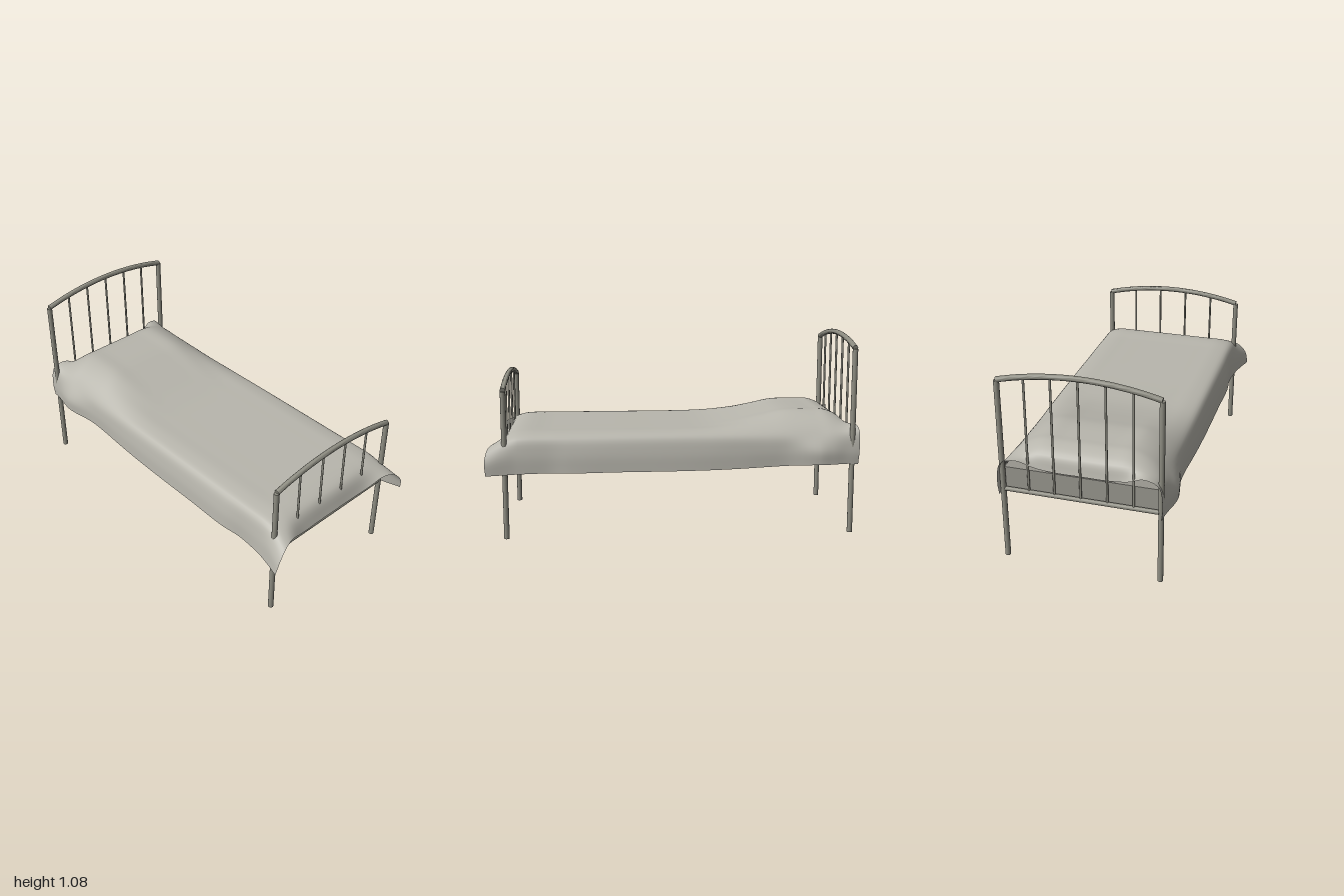
import * as THREE from 'three';
import { toCreasedNormals } from 'three/addons/utils/BufferGeometryUtils.js';

const metal = new THREE.MeshStandardMaterial({ color: 0x8e8d82 });
metal.name = 'grey metal';
const linen = new THREE.MeshStandardMaterial({ color: 0xb8b6ad, side: THREE.DoubleSide });
linen.name = 'pale linen';
const ticking = new THREE.MeshStandardMaterial({ color: 0x98968e });
ticking.name = 'mattress grey';

function add(parent, name, geometry, material, x = 0, y = 0, z = 0) {
  const mesh = new THREE.Mesh(geometry, material);
  mesh.name = name;
  mesh.position.set(x, y, z);
  parent.add(mesh);
  return mesh;
}

// Upright round rod between two heights
function rod(parent, name, x, y0, y1, radius) {
  add(parent, name, new THREE.CylinderGeometry(radius, radius, y1 - y0, 16), metal, x, (y0 + y1) / 2, 0);
}

// One end of the frame: posts, arched rail, lower rail and thin bars
function bedEnd(name, z, postTop, bars) {
  const end = new THREE.Group();
  end.name = name;
  end.position.z = z;
  const railY = x => postTop + 0.008 + 0.053 * (1 - (x / 0.41) ** 2);

  for (const side of [-1, 1]) rod(end, 'post', side * 0.41, 0, postTop + 0.003, 0.0145);
  for (const x of bars) rod(end, 'bar', x, 0.4, railY(x), 0.006);

  const points = [];
  for (let i = 0; i <= 8; i++) {
    const x = -0.41 + 0.82 * i / 8;
    points.push(new THREE.Vector3(x, railY(x), 0));
  }
  const disc = new THREE.Shape().absarc(0, 0, 0.0145, 0, Math.PI * 2);
  const arch = new THREE.ExtrudeGeometry(disc, {
    steps: 24, curveSegments: 8, bevelEnabled: false,
    extrudePath: new THREE.CatmullRomCurve3(points),
  });
  add(end, 'archedRail', toCreasedNormals(arch, 0.9), metal);

  const lower = new THREE.CylinderGeometry(0.012, 0.012, 0.8, 16).rotateZ(Math.PI / 2);
  add(end, 'lowerRail', lower, metal, 0, 0.402, 0);
  return end;
}

// Half cross-section of the blanket, from the middle to the hem
function section([z, top, shoulder, corner, sideX, hemX, hemY]) {
  return [[0, top, z], [0.13, top, z], [0.24, top, z], [0.34, shoulder, z],
    [0.405, corner, z], [sideX, 0.46, z], [hemX, hemY, z]];
}

function blanketGeometry() {
  // Head edge dips between the posts and lifts at the corners
  const headEdge = [[0, 0.53, -0.955], [0.13, 0.53, -0.955], [0.24, 0.545, -0.962], [0.33, 0.588, -0.99],
    [0.405, 0.565, -1], [0.425, 0.46, -1], [0.42, 0.38, -0.995]];
  // Foot edge flares out at the corners
  const footEdge = [[0, 0.455, 0.94], [0.13, 0.455, 0.94], [0.25, 0.463, 0.948], [0.36, 0.5, 0.972],
    [0.425, 0.483, 0.99], [0.475, 0.425, 1], [0.49, 0.36, 0.993]];
  // z, top, shoulder, corner, side x, hem x, hem y
  const rows = [
    [-0.93, 0.607, 0.59, 0.55, 0.428, 0.43, 0.385],
    [-0.85, 0.645, 0.605, 0.545, 0.445, 0.447, 0.385],
    [-0.78, 0.648, 0.605, 0.54, 0.453, 0.453, 0.385],
    [-0.62, 0.646, 0.6, 0.535, 0.424, 0.425, 0.378],
    [-0.5, 0.622, 0.59, 0.535, 0.422, 0.422, 0.372],
    [-0.35, 0.591, 0.577, 0.538, 0.424, 0.428, 0.366],
    [-0.2, 0.57, 0.567, 0.541, 0.428, 0.433, 0.362],
    [0, 0.565, 0.563, 0.543, 0.43, 0.437, 0.36],
    [0.3, 0.565, 0.563, 0.543, 0.432, 0.44, 0.36],
    [0.55, 0.565, 0.563, 0.543, 0.434, 0.443, 0.358],
    [0.68, 0.565, 0.563, 0.543, 0.428, 0.432, 0.358],
    [0.83, 0.565, 0.561, 0.54, 0.434, 0.446, 0.358],
    [0.895, 0.54, 0.543, 0.525, 0.444, 0.46, 0.358],
  ];
  const sections = [headEdge, ...rows.map(section), footEdge];

  // Mirror each half and smooth it across, then smooth along the length
  const across = 56, along = 70;
  const smooth = pts => new THREE.CatmullRomCurve3(pts);
  const strips = sections.map(half => {
    const left = half.map(p => new THREE.Vector3(...p));
    const right = half.slice(1).reverse().map(([x, y, z]) => new THREE.Vector3(-x, y, z));
    return smooth([...right, ...left]).getPoints(across);
  });
  const positions = [], index = [];
  for (let i = 0; i <= across; i++) {
    for (const p of smooth(strips.map(s => s[i])).getPoints(along)) positions.push(p.x, p.y, p.z);
  }
  for (let i = 0; i < across; i++) {
    for (let j = 0; j < along; j++) {
      const a = i * (along + 1) + j, b = a + along + 1;
      index.push(a, a + 1, b, b, a + 1, b + 1);
    }
  }
  const geometry = new THREE.BufferGeometry();
  geometry.setAttribute('position', new THREE.Float32BufferAttribute(positions, 3));
  geometry.setIndex(index);
  geometry.computeVertexNormals();
  return geometry;
}

export function createModel() {
  const bed = new THREE.Group();
  bed.name = 'bed';
  bed.add(bedEnd('headFrame', -0.962, 1, [-0.272, -0.137, 0, 0.137, 0.272]));
  bed.add(bedEnd('footFrame', 0.9, 0.79, [-0.246, -0.082, 0.082, 0.246]));
  add(bed, 'mattress', new THREE.BoxGeometry(0.81, 0.115, 1.835), ticking, 0, 0.4625, -0.03);
  add(bed, 'blanket', blanketGeometry(), linen);
  return bed;
}
